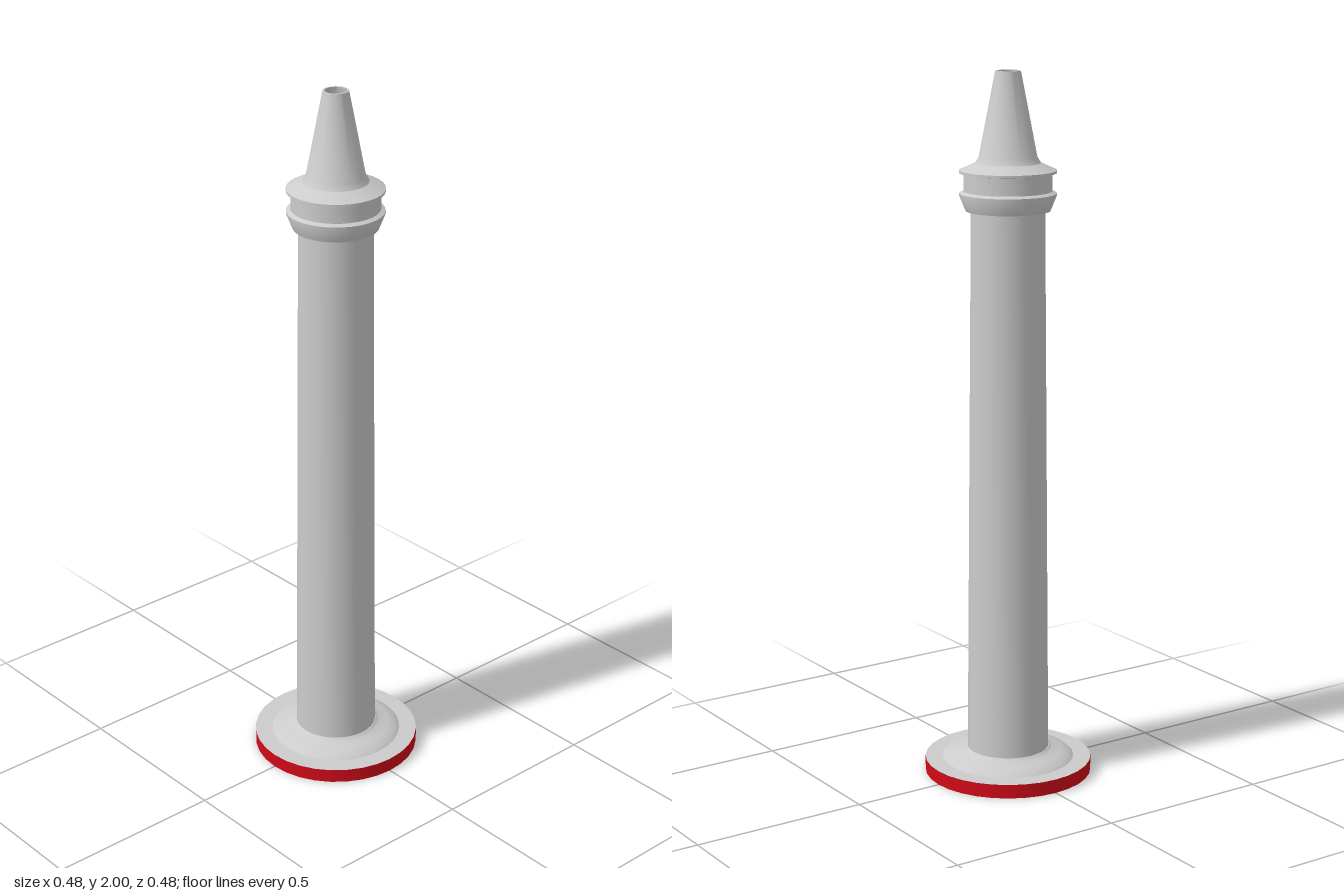
import * as THREE from 'three';
import { toCreasedNormals } from 'three/addons/utils/BufferGeometryUtils.js';

const SIDES = 32;

function paint(color) {
  return new THREE.MeshStandardMaterial({ color, side: THREE.DoubleSide });
}

// Turned part from [radius, height] pairs, with sharp rims kept sharp
function turned(name, profile, material) {
  const points = profile.map(([r, y]) => new THREE.Vector2(r, y));
  const geometry = toCreasedNormals(new THREE.LatheGeometry(points, SIDES), 0.45);
  const mesh = new THREE.Mesh(geometry, material);
  mesh.name = name;
  return mesh;
}

export function createModel() {
  const group = new THREE.Group();
  group.name = 'nozzle';
  const grey = paint(0xcccccc);
  const red = paint(0xd00a18);
  const black = paint(0x080808);

  group.add(
    // Coloured rim around the foot flange
    turned('flangeRim', [[0.238, 0], [0.238, 0.04]], red),

    // Foot flange: underside, recess wall, and ledge under the shaft
    turned('flangeUnderside', [
      [0.107, 0.05], [0.156, 0.04], [0.156, 0], [0.238, 0],
    ], grey),

    // Flat top of the flange rising in a low dome to the shaft
    turned('flangeTop', [
      [0.238, 0.04], [0.188, 0.041], [0.178, 0.05], [0.155, 0.058],
      [0.125, 0.066], [0.118, 0.072], [0.115, 0.072],
    ], grey),

    // Long, slightly tapered shaft
    turned('shaft', [[0.116, 0.066], [0.102, 1.625]], grey),

    // Dark core filling the shaft
    turned('core', [
      [0, 0.05], [0.107, 0.05], [0.098, 1.56], [0, 1.56],
    ], black),

    // Collar with a flared lower ring, a neck and an upper lip
    turned('collar', [
      [0.1, 1.62], [0.117, 1.62], [0.134, 1.662], [0.134, 1.668],
      [0.122, 1.674], [0.122, 1.722], [0.134, 1.724], [0.134, 1.731],
      [0.09, 1.751],
    ], grey),

    // Hollow conical tip
    turned('tip', [
      [0.09, 1.751], [0.08, 1.768], [0.035, 2], [0.03, 2],
      [0.072, 1.768], [0.09, 1.66], [0.098, 1.56],
    ], grey),
  );

  return group;
}
